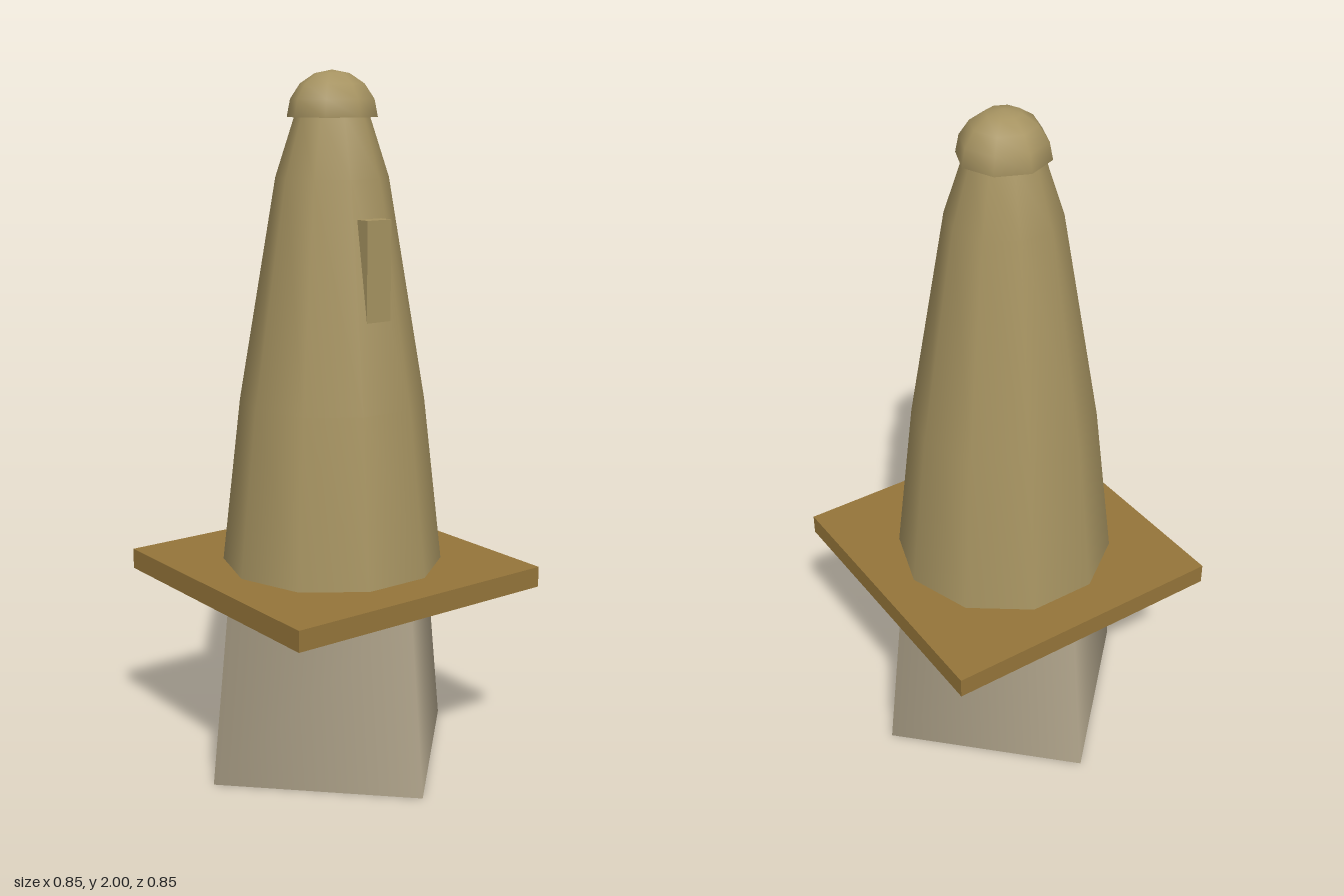
import * as THREE from 'three';

export function createModel() {
  const material = (name, color, side = THREE.FrontSide) => {
    const m = new THREE.MeshStandardMaterial({ color, side });
    m.name = name;
    return m;
  };
  const stone = material('pale stone', 0xb0a48b);
  const wood = material('brown wood', 0x95753a);
  const tan = material('tan', 0xa69361, THREE.DoubleSide);

  const model = new THREE.Group();
  model.name = 'tower';
  const add = (name, geometry, mat, x = 0, y = 0, z = 0) => {
    const mesh = new THREE.Mesh(geometry, mat);
    mesh.name = name;
    mesh.position.set(x, y, z);
    model.add(mesh);
    return mesh;
  };

  // Four-sided tapering plinth, set cornerwise under the platform
  add('plinth', new THREE.CylinderGeometry(0.365, 0.425, 0.54, 4), stone, 0, 0.27, 0);

  // Square platform
  add('platform', new THREE.BoxGeometry(0.854, 0.06, 0.854), wood, 0, 0.57, 0);

  // Ten-sided tapering body, with corners on the x axis
  const profile = [[0.32, 0.6], [0.265, 1.08], [0.158, 1.71], [0.103, 1.88]]
    .map(([r, y]) => new THREE.Vector2(r, y));
  add('body', new THREE.LatheGeometry(profile, 10, Math.PI / 2), tan);

  // Eight-sided dome, open underneath
  add('dome', new THREE.SphereGeometry(0.127, 8, 4, 0, Math.PI * 2, 0, Math.PI / 2), tan, 0, 1.873, 0);

  // Upright block on the front, sinking into the sloping wall
  add('frontBlock', new THREE.BoxGeometry(0.082, 0.28, 0.06), tan, 0, 1.465, 0.182);

  return model;
}
